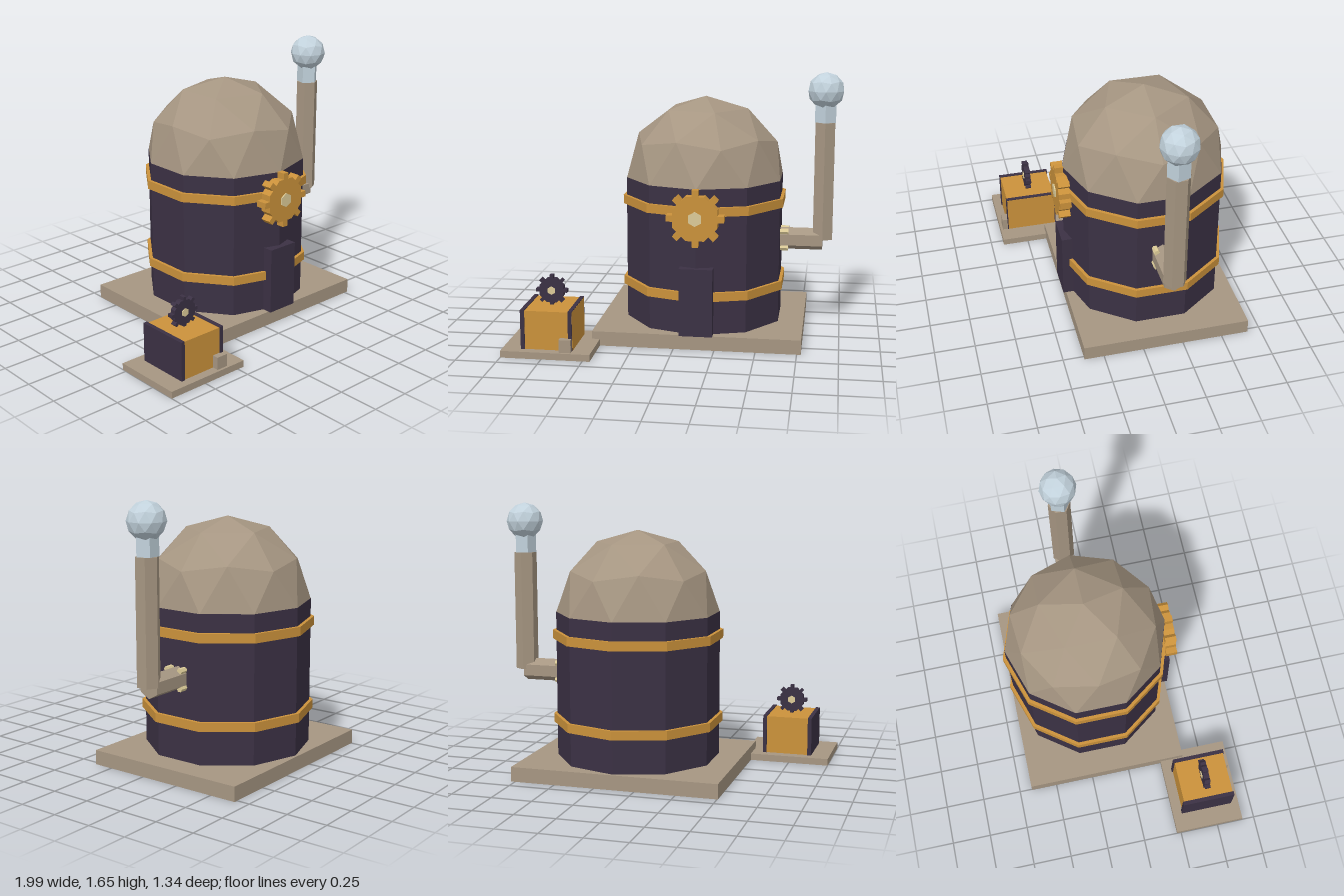
import * as THREE from 'three';

const mat = (color) => new THREE.MeshStandardMaterial({ color, flatShading: true });
const TAN = mat(0xa69682), GOLD = mat(0xcb923b), DARK = mat(0x3b3144);
const PALE = mat(0xdccb98), STEEL = mat(0xc2d2dc);

function add(parent, name, geometry, material, x = 0, y = 0, z = 0) {
  const mesh = new THREE.Mesh(geometry, material);
  mesh.name = name;
  mesh.position.set(x, y, z);
  parent.add(mesh);
  return mesh;
}

// Box given by its limits along each axis
function block(parent, name, material, [x0, x1], [y0, y1], [z0, z1]) {
  return add(parent, name, new THREE.BoxGeometry(x1 - x0, y1 - y0, z1 - z0), material,
    (x0 + x1) / 2, (y0 + y1) / 2, (z0 + z1) / 2);
}

// Upright prism between two heights
function prism(parent, name, material, sides, radius, x, z, y0, y1) {
  return add(parent, name, new THREE.CylinderGeometry(radius, radius, y1 - y0, sides), material,
    x, (y0 + y1) / 2, z);
}

// Faceted ball with a corner at the top and one of the upper ring facing +x
function ball(radius) {
  const t = (1 + Math.sqrt(5)) / 2;
  return new THREE.IcosahedronGeometry(radius, 1).rotateZ(-Math.atan(1 / t));
}

// Eight-toothed gear facing +z, with a hexagonal hub
function gear(parent, name, material, outer, depth, hubRadius, hubDepth, x, y, z) {
  const group = new THREE.Group();
  group.name = name;
  group.position.set(x, y, z);
  const body = outer * 0.84;
  add(group, 'gearBody', new THREE.CylinderGeometry(body, body, depth, 8)
    .rotateY(Math.PI / 8).rotateX(Math.PI / 2), material);
  for (let i = 0; i < 8; i++) {
    const tooth = new THREE.BoxGeometry(outer * 0.5, outer * 0.22, depth);
    tooth.translate(outer * 0.75, 0, 0).rotateZ(i * Math.PI / 4);
    add(group, 'gearTooth', tooth, material);
  }
  add(group, 'gearHub', new THREE.CylinderGeometry(hubRadius, hubRadius, hubDepth, 6)
    .rotateX(Math.PI / 2), PALE);
  parent.add(group);
}

export function createModel() {
  const model = new THREE.Group();
  const cx = 0.135, cz = -0.147;

  // Floor slabs
  block(model, 'towerBase', TAN, [-0.505, 0.775], [0, 0.09], [-0.668, 0.372]);
  block(model, 'crateBase', TAN, [-1, -0.455], [0, 0.042], [0.222, 0.668]);

  // Ten-sided tower with dome and hoops
  prism(model, 'towerWall', DARK, 10, 0.505, cx, cz, 0.09, 0.99);
  add(model, 'dome', ball(0.504), TAN, cx, 0.988, cz);
  for (const y of [0.3, 0.825]) prism(model, 'hoop', GOLD, 10, 0.526, cx, cz, y, y + 0.055);

  // Door and the large gear on the front
  block(model, 'door', DARK, [0.035, 0.24], [0.09, 0.51], [0.28, 0.39]);
  gear(model, 'largeGear', GOLD, 0.173, 0.07, 0.045, 0.084, cx, 0.822, 0.37);

  // Elbow pipe on the left side
  const px = 0.88, py = 0.595;
  add(model, 'horizontalPipe', new THREE.CylinderGeometry(0.07, 0.07, 0.3, 6)
    .rotateX(Math.PI / 2).rotateY(Math.PI / 2), TAN, px - 0.15, py, cz);
  prism(model, 'verticalPipe', TAN, 6, 0.07, px, cz, 0.6, 1.34);
  prism(model, 'pipeCollar', STEEL, 5, 0.068, px, cz, 1.34, 1.47);
  add(model, 'pipeBall', ball(0.114), STEEL, px, 1.535, cz);

  // Bolts around the pipe joint
  for (const sy of [-1, 1]) for (const sz of [-1, 1]) {
    add(model, 'bolt', new THREE.CylinderGeometry(0.019, 0.019, 0.08, 6)
      .rotateZ(Math.PI / 2), PALE, 0.627, py + sy * 0.052, cz + sz * 0.047);
  }

  // Crate with dark edge panels, latch and a small gear on top
  block(model, 'crate', GOLD, [-0.883, -0.57], [0.04, 0.28], [0.287, 0.612]);
  block(model, 'rightPanel', DARK, [-0.885, -0.86], [0.04, 0.285], [0.28, 0.618]);
  block(model, 'leftPanel', DARK, [-0.595, -0.571], [0.04, 0.285], [0.28, 0.618]);
  block(model, 'latch', TAN, [-0.645, -0.573], [0.04, 0.12], [0.57, 0.652]);
  gear(model, 'smallGear', DARK, 0.096, 0.036, 0.026, 0.046, -0.728, 0.368, 0.448);

  return model;
}
